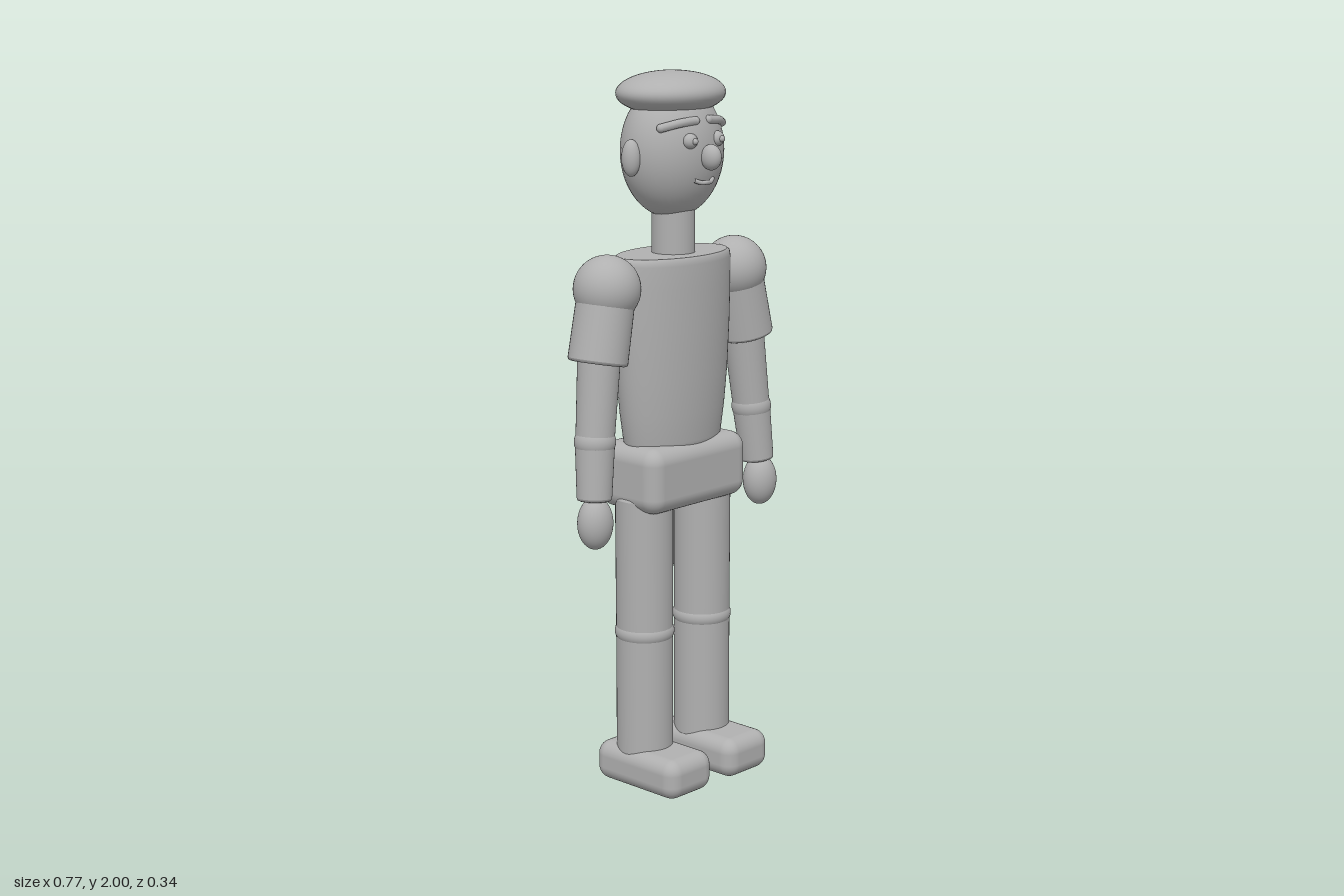
import * as THREE from 'three';
import { RoundedBoxGeometry } from 'three/addons/geometries/RoundedBoxGeometry.js';

const V = (x, y, z) => new THREE.Vector3(x, y, z);

export function createModel() {
  const model = new THREE.Group();
  model.name = 'jointedFigure';
  const grey = new THREE.MeshStandardMaterial({ color: 0xb0b0b0 });
  grey.name = 'plain grey';
  const MID = -0.026; // depth of the body's centre line

  function add(name, geometry, position = V(0, 0, 0)) {
    const mesh = new THREE.Mesh(geometry, grey);
    mesh.name = name;
    mesh.position.copy(position);
    model.add(mesh);
    return mesh;
  }
  const ellipsoid = (name, pos, rx, ry, rz) =>
    add(name, new THREE.SphereGeometry(1, 40, 28).scale(rx, ry, rz), pos);

  // Tapered round limb with softened rims, running from a down to b
  function limb(name, a, b, ra, rb, bevel = 0.008) {
    const length = a.distanceTo(b);
    const profile = [
      [0, 0], [rb - bevel, 0], [rb - bevel, 0], [rb - bevel * 0.3, bevel * 0.3], [rb, bevel], [rb, bevel],
      [ra, length - bevel], [ra, length - bevel], [ra - bevel * 0.3, length - bevel * 0.3],
      [ra - bevel, length], [ra - bevel, length], [0, length],
    ].map(([r, y]) => new THREE.Vector2(r, y));
    const mesh = add(name, new THREE.LatheGeometry(profile, 40), b);
    mesh.quaternion.setFromUnitVectors(V(0, 1, 0), a.clone().sub(b).normalize());
    return mesh;
  }
  const tube = (name, points, radius) =>
    add(name, new THREE.TubeGeometry(new THREE.CatmullRomCurve3(points), 20, radius, 10));

  // Head, cap and neck
  ellipsoid('head', V(0, 1.785, MID), 0.155, 0.185, 0.13);
  ellipsoid('cap', V(0, 1.94, -0.031), 0.162, 0.06, 0.139);
  limb('neck', V(0, 1.64, -0.022), V(0, 1.48, -0.022), 0.06, 0.06, 0.003);

  // Face
  ellipsoid('nose', V(0, 1.775, 0.118), 0.025, 0.035, 0.031);
  tube('mouth', [V(-0.036, 1.713, 0.09), V(-0.015, 1.706, 0.101), V(0, 1.707, 0.104),
    V(0.015, 1.706, 0.101), V(0.036, 1.713, 0.09)], 0.006);

  // Torso: oval lathe, widest at the chest, with a soft rim
  const torso = [[0, 0.96], [0.145, 0.96], [0.16, 0.968], [0.168, 0.99], [0.18, 1.07], [0.19, 1.17],
    [0.197, 1.3], [0.2, 1.42], [0.2, 1.485], [0.197, 1.5], [0.188, 1.506], [0.188, 1.506], [0, 1.506]]
    .map(([r, y]) => new THREE.Vector2(r, y));
  add('torso', new THREE.LatheGeometry(torso, 56).scale(1, 1, 0.59), V(0, 0, MID));
  add('pelvis', new RoundedBoxGeometry(0.39, 0.185, 0.232, 5, 0.045), V(0, 0.895, MID));

  for (const [side, s] of [['left', 1], ['right', -1]]) {
    // Ear, eye and brow
    ellipsoid(side + 'Ear', V(s * 0.16, 1.775, MID), 0.025, 0.05, 0.027);
    ellipsoid(side + 'Eye', V(s * 0.053, 1.82, 0.09), 0.022, 0.021, 0.02);
    ellipsoid(side + 'Pupil', V(s * 0.053, 1.82, 0.108), 0.009, 0.009, 0.009);
    const brow = [V(s * 0.025, 1.872, 0.083), V(s * 0.075, 1.868, 0.074), V(s * 0.12, 1.856, 0.046)];
    tube(side + 'Brow', brow, 0.012);
    for (const end of [brow[0], brow[2]]) ellipsoid(side + 'BrowEnd', end, 0.012, 0.012, 0.012);

    // Arm, hanging slightly outward and forward
    const shoulder = V(s * 0.254, 1.432, MID);
    const sleeveEnd = V(s * 0.296, 1.235, -0.022);
    const elbow = V(s * 0.317, 1.025, -0.013);
    const wrist = V(s * 0.332, 0.865, -0.002);
    ellipsoid(side + 'Shoulder', shoulder, 0.092, 0.092, 0.092);
    limb(side + 'Sleeve', shoulder, sleeveEnd, 0.079, 0.082);
    limb(side + 'UpperArm', sleeveEnd.clone().lerp(shoulder, 0.2), elbow, 0.059, 0.053);
    ellipsoid(side + 'Elbow', elbow, 0.057, 0.05, 0.057);
    limb(side + 'Forearm', elbow, wrist, 0.054, 0.048);
    ellipsoid(side + 'Hand', V(s * 0.336, 0.805, 0.005), 0.051, 0.073, 0.047);

    // Leg with knee joint, and shoe
    const x = s * 0.118;
    limb(side + 'Thigh', V(x, 0.84, -0.022), V(x, 0.445, -0.022), 0.081, 0.08);
    ellipsoid(side + 'Knee', V(x, 0.447, -0.022), 0.084, 0.05, 0.084);
    limb(side + 'Shin', V(x, 0.45, -0.022), V(x, 0.09, -0.022), 0.08, 0.08);
    add(side + 'Shoe', new RoundedBoxGeometry(0.176, 0.114, 0.31, 5, 0.04), V(s * 0.119, 0.057, 0.014));
  }
  return model;
}
